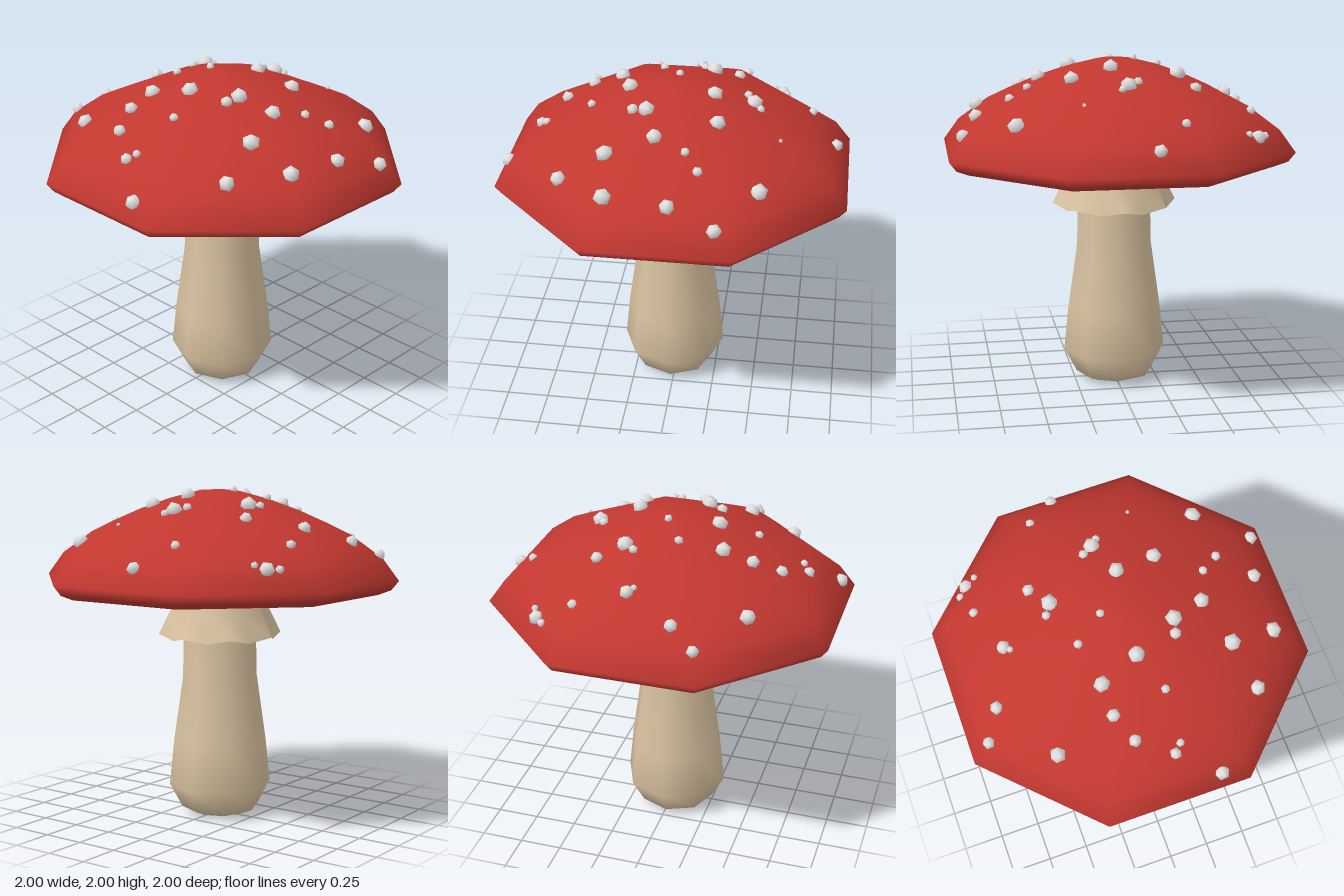
import * as THREE from 'three';
import { mergeVertices } from 'three/addons/utils/BufferGeometryUtils.js';

const SIDES = 8;
const CORNER = 1 / Math.cos(Math.PI / SIDES); // flat-side distance to corner radius

// Cap profile from the inner rim, round the lip and up to the crown: [flat-side distance, y]
const CAP = [
  [0.73, 1.39], [0.82, 1.365], [0.89, 1.37], [0.96, 1.4], [1, 1.455], [0.91, 1.585], [0.82, 1.655],
  [0.735, 1.72], [0.61, 1.785], [0.45, 1.86], [0.28, 1.925], [0.1, 1.975], [0, 1.98],
];
const STEM = [
  [0, 0.005], [0.155, 0.007], [0.235, 0.04], [0.312, 0.185], [0.285, 0.45], [0.228, 0.85], [0.222, 1.1], [0.19, 1.5], [0, 1.52],
];
const SKIRT = [[0.35, 1.1], [0.29, 1.24], [0.245, 1.37], [0.195, 1.53]];

// Warts: [x, z, radius]
const WARTS = [
  [-0.37, -0.89, 0.037], [-0.22, -0.79, 0.04], [-0.58, -0.56, 0.048], [0.07, -0.65, 0.042],
  [0.04, -0.62, 0.02], [0.35, -0.74, 0.03], [0.52, -0.78, 0.025], [0.57, -0.73, 0.045],
  [0.6, -0.67, 0.022], [0.32, -0.42, 0.037], [0.12, -0.38, 0.027], [0.18, -0.34, 0.052],
  [-0.11, -0.275, 0.027], [-0.35, -0.225, 0.048], [-0.52, -0.22, 0.04], [-0.67, -0.15, 0.038],
  [0.77, -0.27, 0.028], [0.92, -0.1, 0.04], [0, -0.11, 0.025], [0.4, -0.07, 0.028],
  [0.44, -0.01, 0.05], [0.48, 0.03, 0.025], [-0.27, 0, 0.05], [0.22, 0.06, 0.048],
  [-0.79, 0.04, 0.035], [-0.75, 0.08, 0.025], [-0.48, 0.09, 0.027], [-0.94, 0.26, 0.045],
  [-0.22, 0.24, 0.035], [-0.14, 0.26, 0.05], [0.26, 0.29, 0.047], [0.61, 0.265, 0.012],
  [-0.07, 0.45, 0.047], [0.11, 0.53, 0.027], [-0.33, 0.535, 0.052], [-0.58, 0.6, 0.047],
  [0.19, 0.64, 0.03], [0.52, 0.63, 0.052], [-0.3, 0.8, 0.05], [0.05, 0.825, 0.045], [0.31, 0.915, 0.043],
];

const profile = (points, scale = 1) => points.map(([r, y]) => new THREE.Vector2(r * scale, y));

// Height of the cap surface above a point
function capHeight(x, z) {
  const ax = Math.abs(x), az = Math.abs(z);
  const d = Math.max(ax, az, (ax + az) * Math.SQRT1_2);
  for (let i = 4; i < CAP.length - 1; i++) {
    const [r0, y0] = CAP[i], [r1, y1] = CAP[i + 1];
    if (d >= r1) return y0 + (y1 - y0) * (r0 - d) / (r0 - r1);
  }
  return 1.98;
}

export function createModel() {
  const red = new THREE.MeshStandardMaterial({ color: 0xc23830, side: THREE.DoubleSide });
  red.name = 'capRed';
  const beige = new THREE.MeshStandardMaterial({ color: 0xd9c2a0, side: THREE.DoubleSide });
  beige.name = 'stemBeige';
  const white = new THREE.MeshStandardMaterial({ color: 0xe6e6e6 });
  white.name = 'wartWhite';

  const model = new THREE.Group();
  model.name = 'mushroom';
  const add = (name, geometry, material, parent = model) => {
    const mesh = new THREE.Mesh(geometry, material);
    mesh.name = name;
    parent.add(mesh);
    return mesh;
  };

  // Hollow eight-sided cap with a turned-in rim
  add('cap', new THREE.LatheGeometry(profile(CAP, CORNER), SIDES, Math.PI / SIDES), red);

  // Stem with a swollen foot
  add('stem', new THREE.LatheGeometry(profile(STEM), SIDES), beige).position.x = -0.017;

  // Skirt with folds that deepen toward a wavy hem
  const skirt = new THREE.LatheGeometry(profile(SKIRT), 16);
  const pos = skirt.attributes.position;
  for (let i = 0; i < pos.count; i++) {
    const fold = Math.floor(i / SKIRT.length) % 2 ? -1 : 1;
    const drop = (1.53 - pos.getY(i)) / 0.43;
    const k = 1 + fold * (0.03 + 0.04 * drop);
    pos.setXYZ(i, pos.getX(i) * k, pos.getY(i) + fold * 0.014 * drop, pos.getZ(i) * k);
  }
  skirt.computeVertexNormals();
  add('skirt', skirt, beige).position.x = -0.017;

  // Small lumpy warts scattered over the cap
  const warts = new THREE.Group();
  warts.name = 'warts';
  model.add(warts);
  let lump = new THREE.IcosahedronGeometry(1, 0);
  lump.deleteAttribute('normal');
  lump.deleteAttribute('uv');
  lump = mergeVertices(lump);
  lump.computeVertexNormals();
  WARTS.forEach(([x, z, r], i) => {
    const wart = add('wart', lump, white, warts);
    wart.position.set(x, capHeight(x, z) + 0.006, z);
    wart.scale.setScalar(r);
    wart.rotation.set(i * 1.7, i * 2.3, i * 0.9);
  });
  return model;
}
